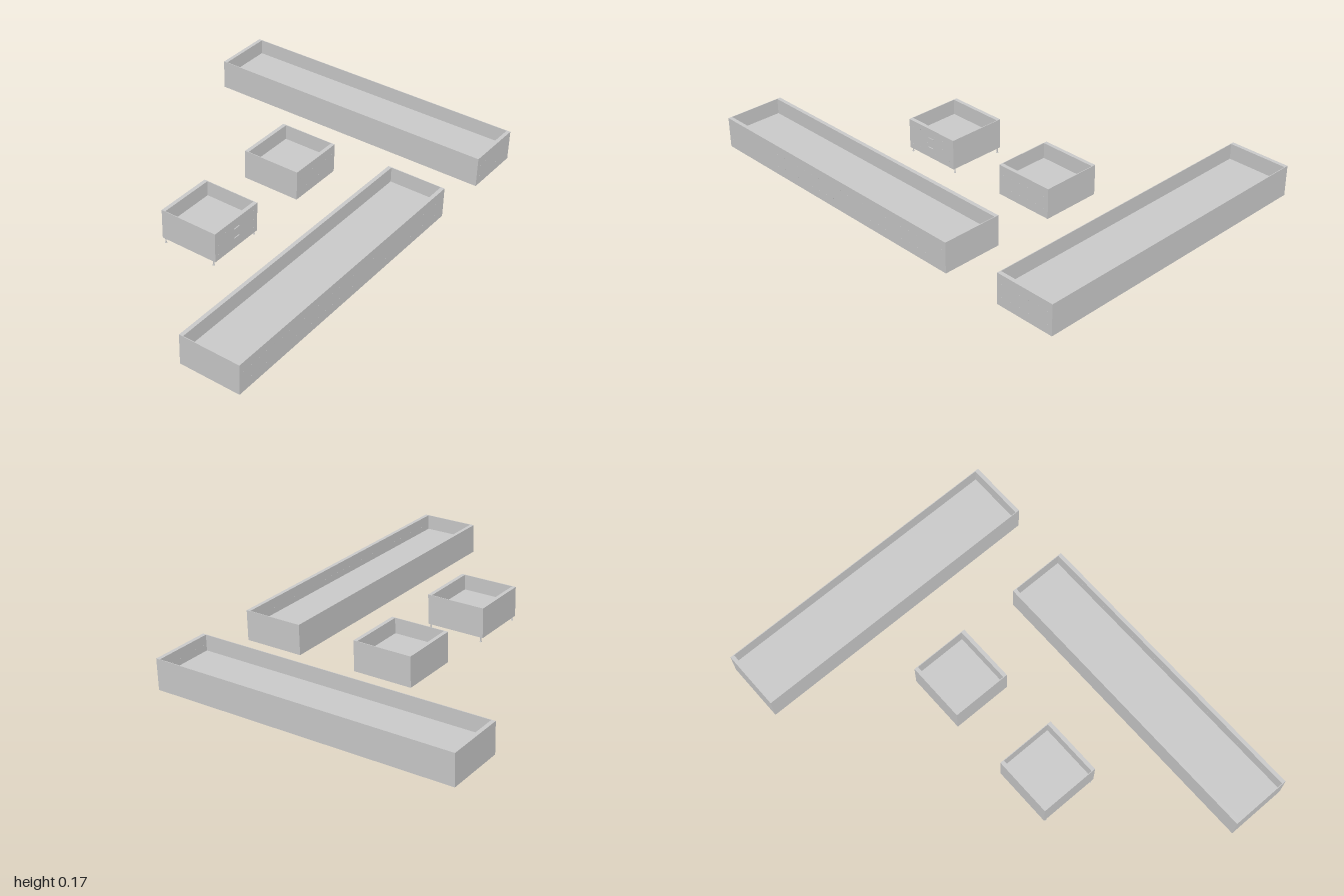
import * as THREE from 'three';

// Layout follows a grid of seven box widths across two units
const W = 2 / 7, LONG = 5 * W, H = W / 2, BOTTOM = 0.023;
const END = 0.018, SIDE = 0.003, FLOOR = 0.07;
const grey = new THREE.MeshStandardMaterial({ color: 0xcccccc, flatShading: true });

function add(group, name, geometry, x, y, z) {
  const mesh = new THREE.Mesh(geometry, grey);
  mesh.name = name;
  mesh.position.set(x, y, z);
  group.add(mesh);
}

// Front panel pierced by rows of tiny round holes
function piercedPanel(width, rows) {
  const shape = new THREE.Shape();
  shape.moveTo(-width / 2, 0);
  shape.lineTo(width / 2, 0);
  shape.lineTo(width / 2, H);
  shape.lineTo(-width / 2, H);
  shape.closePath();
  const columns = Math.round(width / 0.048);
  for (const row of rows) {
    for (let i = 0; i < columns; i++) {
      const x = ((i + 0.5) / columns - 0.5) * width;
      const hole = new THREE.Path();
      hole.absarc(x, row * H, 0.0012, 0, Math.PI * 2, true);
      shape.holes.push(hole);
    }
  }
  return new THREE.ExtrudeGeometry(shape, { depth: END, bevelEnabled: false, curveSegments: 6 });
}

// Open-topped box: raised floor, two thin sides, back panel and pierced front
function openBox(name, x, z, width, depth, rows = [0.3, 0.7]) {
  const box = new THREE.Group();
  box.name = name;
  box.position.set(x, BOTTOM, z);
  const inner = depth - 2 * END;
  add(box, 'floor', new THREE.BoxGeometry(width - 2 * SIDE, FLOOR, inner), 0, FLOOR / 2, 0);
  for (const s of [-1, 1]) {
    add(box, s > 0 ? 'leftWall' : 'rightWall', new THREE.BoxGeometry(SIDE, H, inner),
      s * (width - SIDE) / 2, H / 2, 0);
  }
  add(box, 'backPanel', new THREE.BoxGeometry(width, H, END), 0, H / 2, (END - depth) / 2);
  add(box, 'frontPanel', piercedPanel(width, rows), 0, 0, depth / 2 - END);
  return box;
}

export function createModel() {
  const model = new THREE.Group();
  model.name = 'openBoxes';

  model.add(openBox('longFrontBox', -W, 2 * W, LONG, W));
  model.add(openBox('longSideBox', 3 * W, 0, W, LONG));
  model.add(openBox('smallBox', W, 0, W, W));

  // Small box with round feet and two front pulls
  const footed = openBox('footedBox', -W, 0, W, W, [0.2, 0.5, 0.8]);
  for (const sx of [-1, 1]) {
    for (const sz of [-1, 1]) {
      const x = sx * 0.1375, z = sz * 0.13;
      add(footed, 'footStem', new THREE.CylinderGeometry(0.003, 0.003, BOTTOM, 16), x, -BOTTOM / 2, z);
      add(footed, 'footPad', new THREE.CylinderGeometry(0.004, 0.005, 0.004, 16), x, 0.002 - BOTTOM, z);
    }
  }
  for (const y of [0.35, 0.68]) {
    add(footed, 'pull', new THREE.BoxGeometry(0.032, 0.004, 0.004), 0, y * H, W / 2 + 0.002);
  }
  model.add(footed);
  return model;
}
